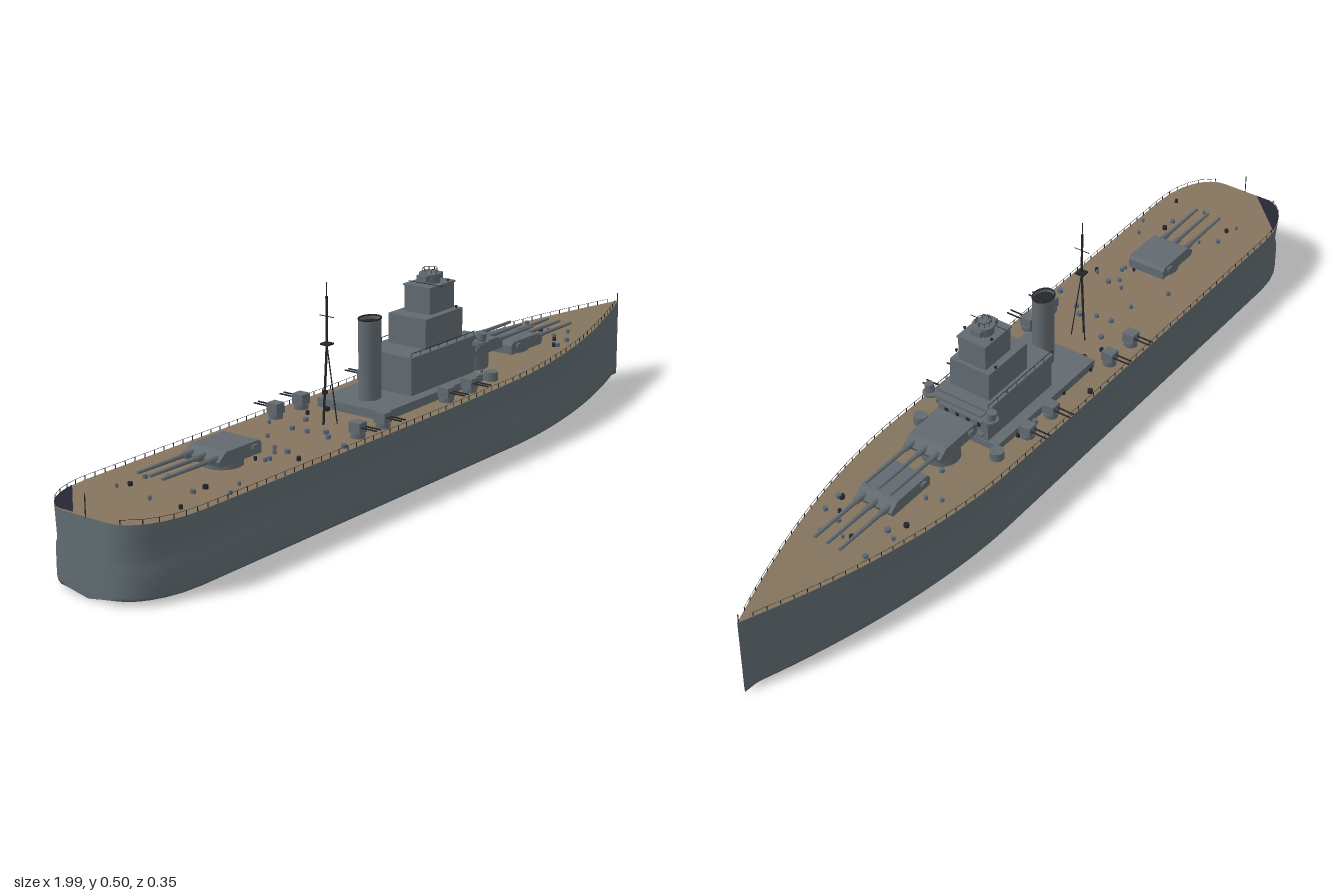
import * as THREE from 'three';
import { mergeGeometries } from 'three/addons/utils/BufferGeometryUtils.js';

const material = (name, color) => {
  const m = new THREE.MeshStandardMaterial({ color, side: THREE.DoubleSide });
  m.name = name;
  return m;
};

// half width and height of the deck edge along the ship
const halfWidth = (x) => {
  if (x > 0.28) return Math.max(0.0008, 0.158 * (1 - Math.pow((x - 0.28) / 0.715, 1.8)));
  if (x < -0.83) return 0.062 + 0.096 * Math.sqrt(Math.max(0, 1 - ((-0.83 - x) / 0.167) ** 2));
  return 0.158;
};
const deckY = (x) => 0.174 + 0.028 * Math.pow(Math.max(0, (x + 0.1) / 1.1), 1.6);

const stations = [-0.997, -0.994, -0.985, -0.97, -0.95, -0.92, -0.88, -0.83];
for (let x = -0.7; x < 0.27; x += 0.16) stations.push(x);
for (let i = 0; i <= 20; i++) stations.push(0.28 + (0.715 * i) / 20);

export function createModel() {
  const hullGrey = material('hull grey', 0x5f6b71);
  const grey = material('superstructure grey', 0x616a70);
  const wood = material('deck wood', 0x84745e);
  const dark = material('dark fittings', 0x23262a);
  const navy = material('stern patch navy', 0x262636);
  const blue = material('deck fitting blue', 0x56677a);

  const ship = new THREE.Group();
  ship.name = 'warship';
  const add = (name, geometry, mat, x = 0, y = 0, z = 0, parent = ship) => {
    const mesh = new THREE.Mesh(geometry, mat);
    mesh.name = name;
    mesh.position.set(x, y, z);
    parent.add(mesh);
    return mesh;
  };
  const box = (name, x0, x1, y0, y1, half, mat = grey, z = 0, parent = ship) =>
    add(name, new THREE.BoxGeometry(x1 - x0, y1 - y0, half * 2), mat, (x0 + x1) / 2, (y0 + y1) / 2, z, parent);
  const boxGeo = (w, h, d, x, y, z) => new THREE.BoxGeometry(w, h, d).translate(x, y, z);
  // thin rod between two points
  const rod = (a, b, r, sides = 6) => {
    const A = new THREE.Vector3(...a), B = new THREE.Vector3(...b);
    const d = B.clone().sub(A);
    const g = new THREE.CylinderGeometry(r, r, d.length(), sides);
    g.applyQuaternion(new THREE.Quaternion().setFromUnitVectors(new THREE.Vector3(0, 1, 0), d.normalize()));
    return g.translate(...A.add(B).multiplyScalar(0.5).toArray());
  };
  const surface = (pos, index) => {
    const g = new THREE.BufferGeometry();
    g.setAttribute('position', new THREE.Float32BufferAttribute(pos, 3));
    g.setIndex(index);
    g.computeVertexNormals();
    return g;
  };

  // hull skin: cross-sections running from one deck edge under the keel to the other
  const hp = [], hi = [], dp = [], di = [];
  stations.forEach((x, s) => {
    const w = halfWidth(x), top = deckY(x);
    const side = [[1, top], [0.975, 0.135], [0.95, 0.1], [0.995, 0.085], [1, 0.05], [1, 0.02], [0.97, 0.013], [0.5, 0.007]];
    const ring = [...side, [0, 0.001], ...side.map(([a, b]) => [-a, b]).reverse()];
    const n = ring.length;
    ring.forEach(([a, y]) => hp.push(x, y, a * w));
    dp.push(x, top, w, x, top, -w);
    if (!s) return;
    for (let j = 0; j < n - 1; j++) {
      const a = (s - 1) * n + j, b = a + n;
      hi.push(a, a + 1, b, a + 1, b + 1, b);
    }
    const p = (s - 1) * 2;
    di.push(p + 1, p, p + 3, p, p + 2, p + 3);
  });
  for (let j = 1; j < 16; j++) hi.push(0, j + 1, j);
  add('hull', surface(hp, hi), hullGrey);
  add('deck', surface(dp, di), wood);

  // dark patch on the stern corner
  const y = deckY(-1) + 0.002;
  const rim = [-0.995, -0.985, -0.97, -0.95, -0.92, -0.88].map((x) => [x, -halfWidth(x) + 0.001]);
  const patch = [[-0.995, -0.035], ...rim];
  const fan = [];
  for (let i = 1; i < patch.length - 1; i++) fan.push(0, i + 1, i);
  add('sternPatch', surface(patch.flatMap(([x, z]) => [x, y, z]), fan), navy);

  // guard rails and end staffs
  const rails = [];
  for (const s of [1, -1]) {
    let last = null;
    for (let x = -0.99; x < 0.99; x += 0.03) {
      const z = s * Math.max(0, halfWidth(x) - 0.002), h = deckY(x);
      rails.push(boxGeo(0.0015, 0.01, 0.0015, x, h + 0.005, z));
      if (last) rails.push(rod(last, [x, h + 0.01, z], 0.0005, 3));
      last = [x, h + 0.01, z];
    }
  }
  rails.push(rod([-0.996, 0.17, 0], [-0.996, 0.222, 0], 0.0012), rod([0.992, 0.19, 0], [0.992, 0.222, 0], 0.0012));
  add('guardRails', mergeGeometries(rails), dark);

  // stepped superstructure
  box('lowerDeckhouse', -0.152, 0.235, 0.17, 0.195, 0.096);
  box('mainDeckhouse', -0.015, 0.232, 0.195, 0.28, 0.069);
  box('mainDeckhouseRoof', -0.018, 0.236, 0.28, 0.286, 0.072);
  box('bridgeBlock', 0.06, 0.205, 0.286, 0.357, 0.054);
  box('upperBridge', 0.1, 0.195, 0.357, 0.42, 0.037);
  box('upperBridgeRoof', 0.097, 0.198, 0.418, 0.422, 0.039);
  box('bridgeWing', 0.225, 0.25, 0.27, 0.276, 0.065);
  for (const h of [0.21, 0.248]) box('frontLedge', 0.23, 0.243, h, h + 0.004, 0.06);
  for (const z of [-0.045, -0.015, 0.015, 0.045]) box('frontHatch', 0.231, 0.235, 0.228, 0.238, 0.004, dark, z);
  add('directorTower', new THREE.CylinderGeometry(0.026, 0.024, 0.022, 16), grey, 0.15, 0.433, 0);
  box('rangefinder', 0.115, 0.182, 0.428, 0.442, 0.014);
  const roofRail = [];
  for (let i = 0; i < 8; i++) {
    const a = (i * Math.PI) / 4;
    roofRail.push(boxGeo(0.001, 0.011, 0.001, 0.15 + 0.017 * Math.cos(a), 0.449, 0.017 * Math.sin(a)));
  }
  roofRail.push(new THREE.TorusGeometry(0.017, 0.0007, 4, 16).rotateX(Math.PI / 2).translate(0.15, 0.4545, 0));
  // yard, roof railings and small lamps
  roofRail.push(rod([0.12, 0.424, -0.04], [0.12, 0.424, 0.058], 0.0008));
  for (const s of [1, -1]) {
    roofRail.push(rod([-0.015, 0.296, s * 0.07], [0.232, 0.296, s * 0.07], 0.0008));
    for (let x = -0.015; x < 0.235; x += 0.035) roofRail.push(boxGeo(0.001, 0.011, 0.001, x, 0.291, s * 0.07));
    roofRail.push(new THREE.ConeGeometry(0.004, 0.008, 6).rotateX(Math.PI).translate(0.17, 0.426, s * 0.037));
    roofRail.push(new THREE.ConeGeometry(0.004, 0.009, 6).rotateX(Math.PI).translate(0.18, 0.362, s * 0.054));
  }
  add('bridgeFittings', mergeGeometries(roofRail), dark);

  // funnel with a dark mouth
  const oval = (r, h, open) => new THREE.CylinderGeometry(r, r, h, 24, 1, open).scale(1, 1, 0.8);
  add('funnel', oval(0.03, 0.19, true), grey, -0.08, 0.288, 0);
  add('funnelMouth', oval(0.0295, 0.004, false), dark, -0.08, 0.372, 0);
  add('funnelCap', new THREE.TorusGeometry(0.03, 0.002, 6, 24).rotateX(Math.PI / 2).scale(1, 1, 0.8), dark, -0.08, 0.383, 0);

  // tripod mast
  add('mast', mergeGeometries([
    rod([-0.25, 0.17, 0], [-0.235, 0.36, 0], 0.003),
    rod([-0.235, 0.34, 0], [-0.235, 0.465, 0], 0.003),
    rod([-0.235, 0.46, 0], [-0.235, 0.497, 0], 0.001),
    rod([-0.225, 0.17, 0.02], [-0.235, 0.355, 0], 0.0015),
    rod([-0.225, 0.17, -0.02], [-0.235, 0.355, 0], 0.0015),
    rod([-0.235, 0.42, -0.02], [-0.235, 0.42, 0.02], 0.001),
    boxGeo(0.022, 0.004, 0.022, -0.235, 0.357, 0),
  ]), dark);

  // triple main turrets
  const profile = new THREE.Shape([[-0.068, 0], [0.062, 0], [0.068, 0.012], [0.045, 0.03], [-0.06, 0.03], [-0.068, 0.022]]
    .map((p) => new THREE.Vector2(...p)));
  const turretGeo = new THREE.ExtrudeGeometry(profile, { depth: 0.1, bevelEnabled: false }).translate(0, 0, -0.05);
  const mainTurret = (name, x, y, heading) => {
    const g = new THREE.Group();
    g.name = name;
    g.position.set(x, y, 0);
    g.rotation.y = heading;
    ship.add(g);
    add('gunhouse', turretGeo, grey, 0, 0, 0, g);
    const h = y - 0.165;
    add('barbette', new THREE.CylinderGeometry(0.045, 0.045, h, 24), grey, 0, -h / 2, 0, g);
    box('rangefinderArms', -0.05, -0.035, 0.016, 0.024, 0.056, grey, 0, g);
    for (const z of [-0.034, 0, 0.034]) {
      add('barrel', new THREE.CylinderGeometry(0.0035, 0.0055, 0.17, 10).rotateZ(-Math.PI / 2), grey, 0.137, 0.016, z, g);
      add('barrelSleeve', new THREE.CylinderGeometry(0.007, 0.008, 0.03, 10).rotateZ(-Math.PI / 2), grey, 0.07, 0.016, z, g);
    }
  };
  mainTurret('foreTurret', 0.488, 0.191, 0);
  mainTurret('raisedTurret', 0.314, 0.22, 0);
  mainTurret('aftTurret', -0.588, 0.191, Math.PI);

  // twin secondary mounts and side directors
  for (const s of [1, -1]) {
    for (const x of [-0.275, -0.185, 0.055, 0.147]) {
      const g = new THREE.Group();
      g.name = 'secondaryMount';
      g.position.set(x, 0.174, s * 0.117);
      g.rotation.y = s > 0 ? 0 : Math.PI;
      ship.add(g);
      add('mountBase', new THREE.CylinderGeometry(0.017, 0.017, 0.012, 14), grey, 0, 0.006, 0, g);
      box('shield', -0.014, 0.014, 0.012, 0.036, 0.015, grey, 0, g);
      for (const d of [-0.007, 0.007])
        add('secondaryBarrel', rod([d, 0.026, 0.01], [d, 0.026, 0.057], 0.002), dark, 0, 0, 0, g);
    }
    add('sidePlatform', new THREE.CylinderGeometry(0.019, 0.019, 0.005, 14), grey, 0.24, 0.27, s * 0.083);
    box('platformSupport', 0.225, 0.235, 0.262, 0.27, 0.014, grey, s * 0.075);
    add('sideDirector', new THREE.CylinderGeometry(0.011, 0.011, 0.02, 12).rotateX(s * 0.15), grey, 0.24, 0.283, s * 0.086);
    add('deckDirector', new THREE.CylinderGeometry(0.017, 0.017, 0.025, 14), grey, 0.25, 0.187, s * 0.107);
  }

  // scattered bollards, vents and hatches
  let seed = 7;
  const rnd = () => (seed = (seed * 16807) % 2147483647) / 2147483647;
  const bits = { blue: [], dark: [] };
  for (let i = 0; i < 70; i++) {
    const x = -0.85 + rnd() * 1.6;
    const z = (rnd() * 2 - 1) * (halfWidth(x) - 0.015);
    const r = 0.003 + rnd() * 0.004;
    bits[i % 3 ? 'blue' : 'dark'].push(new THREE.CylinderGeometry(r, r, 0.009, 8).translate(x, deckY(x) + 0.004, z));
  }
  add('deckVents', mergeGeometries(bits.blue), blue);
  add('bollards', mergeGeometries(bits.dark), dark);
  return ship;
}
